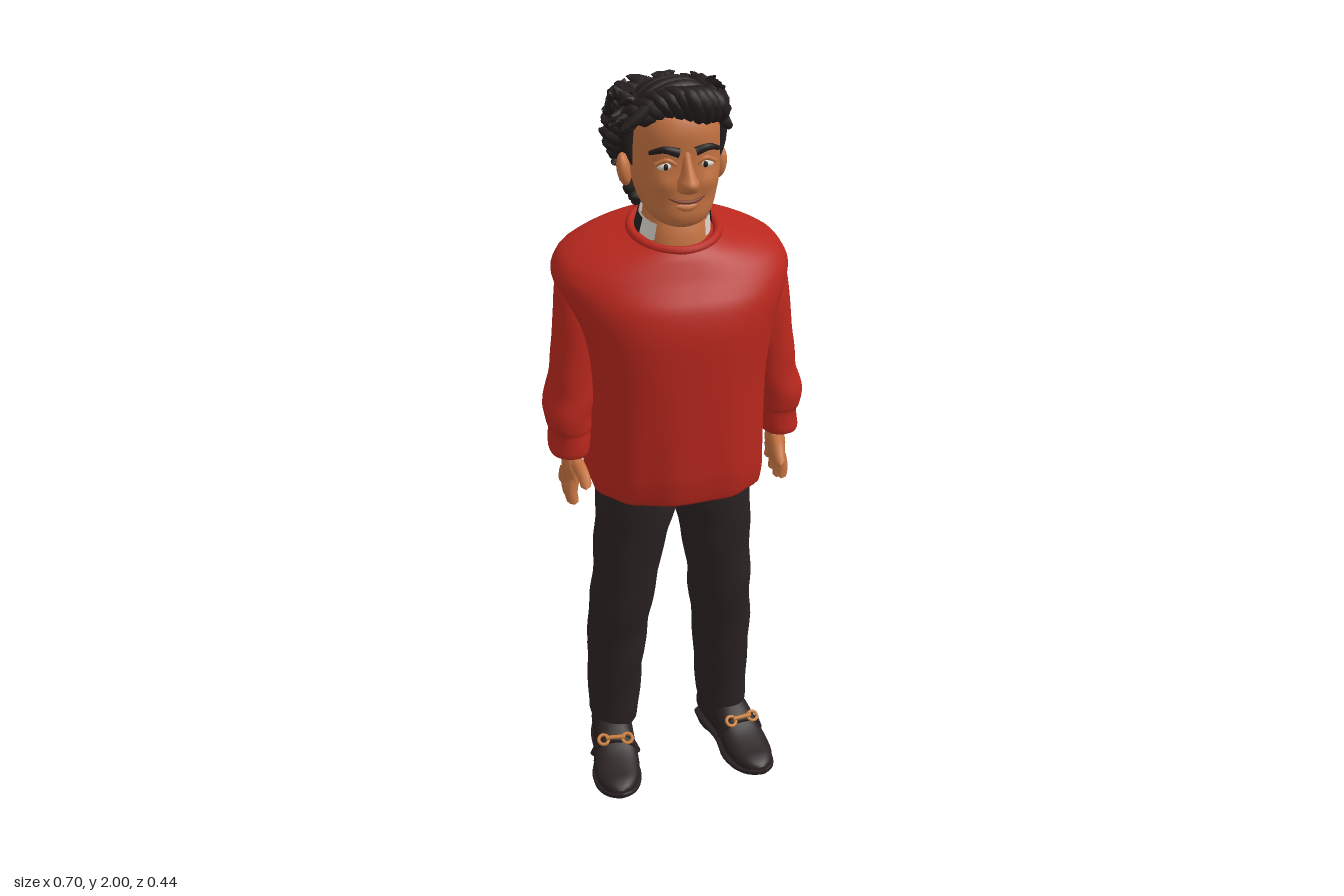
import * as THREE from 'three';
import { mergeGeometries } from 'three/addons/utils/BufferGeometryUtils.js';

const mat = (name, color, side = THREE.FrontSide) => {
  const m = new THREE.MeshStandardMaterial({ color, side });
  m.name = name;
  return m;
};
const V = (x, y, z) => new THREE.Vector3(x, y, z);
const rnd = (i) => { const s = Math.sin(i * 12.9898) * 43758.5453; return s - Math.floor(s); };

// Smooth monotone interpolation of section rows
function refine(rows, sub) {
  const tan = (i, k) => {
    if (i === 0 || i === rows.length - 1) return 0;
    const a = rows[i][k] - rows[i - 1][k], b = rows[i + 1][k] - rows[i][k];
    return a * b <= 0 ? 0 : (2 * a * b) / (a + b);
  };
  const out = [];
  for (let i = 0; i < rows.length - 1; i++) for (let j = 0; j < sub; j++) {
    const t = j / sub, t2 = t * t, t3 = t2 * t;
    out.push(rows[i].map((p, k) => p * (2 * t3 - 3 * t2 + 1) + tan(i, k) * (t3 - 2 * t2 + t)
      + rows[i + 1][k] * (3 * t2 - 2 * t3) + tan(i + 1, k) * (t3 - t2)));
  }
  out.push(rows[rows.length - 1]);
  return out;
}
const onRing = ([y, xl, xr, zb, zf], a, n = 2.3, k = 1) => {
  const c = Math.cos(a), s = Math.sin(a);
  const e = (v) => Math.sign(v) * Math.abs(v) ** (2 / n);
  return V((xl + xr) / 2 + e(c) * k * (xr - xl) / 2, y, (zb + zf) / 2 + e(s) * k * (zf - zb) / 2);
};
// Closed body through rounded sections [y, xMin, xMax, zBack, zFront]
function loft(rows, { n = 2.3, seg = 32, sub = 4, warp } = {}) {
  const rings = refine(rows, sub), pos = [], idx = [];
  rings.forEach((r) => {
    for (let i = 0; i < seg; i++) {
      const a = (i / seg) * Math.PI * 2, p = onRing(r, a, n);
      if (warp) warp(p, a);
      pos.push(p.x, p.y, p.z);
    }
  });
  for (let j = 0; j < rings.length - 1; j++) for (let i = 0; i < seg; i++) {
    const k = (i + 1) % seg, a = j * seg + i, b = j * seg + k, c = a + seg, d = b + seg;
    idx.push(a, c, b, b, c, d);
  }
  [0, rings.length - 1].forEach((j, top) => {
    const r = rings[j], c = pos.length / 3;
    pos.push((r[1] + r[2]) / 2, r[0], (r[3] + r[4]) / 2);
    for (let i = 0; i < seg; i++) {
      const a = j * seg + i, b = j * seg + (i + 1) % seg;
      if (top) idx.push(a, c, b); else idx.push(a, b, c);
    }
  });
  const g = new THREE.BufferGeometry();
  g.setAttribute('position', new THREE.Float32BufferAttribute(pos, 3));
  g.setIndex(idx);
  g.computeVertexNormals();
  return g;
}
const sym = (rows) => rows.map(([y, x, b, f]) => [y, -x, x, b, f]);
const sided = (s, rows) => rows.map(([y, a, b, ...z]) => [y, Math.min(s * a, s * b), Math.max(s * a, s * b), ...z]);
const along = (rows, n) => loft(rows.map(([l, w, top, low]) => [l, -w, w, -top, -low]), { n }).rotateX(Math.PI / 2);

// Tube along a curve whose thickness follows a rule
function lock(points, r, shape = (t) => Math.sqrt(1 - t * 0.98), tub = 6, rad = 6) {
  const curve = new THREE.CatmullRomCurve3(points), g = new THREE.TubeGeometry(curve, tub, r, rad);
  const p = g.attributes.position, v = V(0, 0, 0);
  for (let i = 0; i < p.count; i++) {
    const t = Math.floor(i / (rad + 1)) / tub, c = curve.getPointAt(t);
    v.fromBufferAttribute(p, i).sub(c).multiplyScalar(shape(t)).add(c);
    p.setXYZ(i, v.x, v.y, v.z);
  }
  return g;
}
const swell = (t) => Math.sqrt(Math.max(0.01, Math.sin(Math.PI * (0.12 + 0.87 * t))));

export function createModel() {
  const root = new THREE.Group();
  const red = mat('sweater red', 0xb8271d), skin = mat('skin', 0xc47241), hairM = mat('hair black', 0x231c1c);
  const cloth = mat('trouser charcoal', 0x2b2222), leather = mat('shoe leather', 0x292021), gold = mat('buckle gold', 0xc87c38);
  const white = mat('pale white', 0xdcd6ce, THREE.DoubleSide), collarM = mat('collar black', 0x242022, THREE.DoubleSide);
  const lip = mat('lip brown', 0x7a3a26);
  const add = (name, g, m, parent = root) => {
    const o = new THREE.Mesh(g, m);
    o.name = name;
    parent.add(o);
    return o;
  };
  const ball = (name, m, x, y, z, sx, sy, sz) => {
    const o = add(name, new THREE.SphereGeometry(1, 20, 14), m);
    o.position.set(x, y, z);
    o.scale.set(sx, sy, sz);
    return o;
  };

  // Sweater body: broad shoulders set slightly back, rippled hem, neckline tilted down to the front
  add('sweaterBody', loft(sym([
    [0.95, 0.19, -0.17, 0.16], [0.915, 0.222, -0.2, 0.197], [0.92, 0.23, -0.207, 0.203], [0.965, 0.236, -0.216, 0.212],
    [1.0, 0.235, -0.22, 0.216], [1.2, 0.236, -0.208, 0.219], [1.36, 0.258, -0.196, 0.218], [1.45, 0.296, -0.188, 0.202],
    [1.5, 0.309, -0.182, 0.182], [1.54, 0.291, -0.172, 0.164], [1.58, 0.22, -0.152, 0.146], [1.602, 0.155, -0.13, 0.134], [1.615, 0.115, -0.105, 0.122],
  ]), {
    n: 2.4, seg: 66,
    warp: (p, a) => {
      const w = 1 + 0.016 * Math.cos(11 * a) * (1 - THREE.MathUtils.smoothstep(p.y, 0.95, 1.3));
      p.x *= w; p.z *= w;
      p.z -= 0.03 * (p.x / 0.31) ** 2 * THREE.MathUtils.smoothstep(p.y, 1.3, 1.5);
      p.y -= 0.27 * p.z * THREE.MathUtils.smoothstep(p.y, 1.42, 1.62);
    },
  }), red);
  const neckline = add('necklineBand', new THREE.TorusGeometry(0.112, 0.012, 10, 40), red);
  neckline.rotation.x = Math.PI / 2 + 0.26;
  neckline.position.set(0, 1.613, 0.008);

  // Shirt collar round the back of the neck, with a pale lining reaching further forward
  [['shirtCollar', 0.1, 0.058, 1.3, collarM], ['collarLining', 0.096, 0.064, 0.78, white]].forEach(([name, r, h, open, m]) => {
    const c = add(name, new THREE.CylinderGeometry(r - 0.008, r + 0.002, h, 32, 1, true, open, Math.PI * 2 - 2 * open), m);
    c.rotation.x = 0.26;
    c.position.set(0, 1.63, 0.006);
  });

  for (const s of [1, -1]) {
    const side = s > 0 ? 'left' : 'right';
    // Sleeve with a gathered cuff
    add(side + 'Sleeve', loft(sided(s, [
      [1.06, 0.26, 0.31, -0.03, 0.055], [1.025, 0.24, 0.332, -0.055, 0.08], [1.04, 0.234, 0.338, -0.06, 0.085], [1.085, 0.234, 0.338, -0.062, 0.083],
      [1.1, 0.228, 0.345, -0.075, 0.087], [1.14, 0.222, 0.349, -0.088, 0.09], [1.2, 0.212, 0.337, -0.09, 0.084], [1.3, 0.2, 0.322, -0.082, 0.078],
      [1.4, 0.19, 0.313, -0.082, 0.072], [1.47, 0.18, 0.306, -0.085, 0.055], [1.52, 0.18, 0.28, -0.07, 0.035],
    ]), { warp: (p, a) => { p.x += s * 0.003 * Math.sin(p.y * 50 + 2 * Math.sin(a)) * (1 - THREE.MathUtils.smoothstep(p.y, 1.2, 1.35)); } }), red);

    // Hand: palm, four fingers, thumb
    add(side + 'Palm', loft(sided(s, [
      [0.925, 0.274, 0.3, -0.045, 0.065], [0.95, 0.268, 0.304, -0.048, 0.07], [0.985, 0.262, 0.306, -0.04, 0.068],
      [1.02, 0.262, 0.304, -0.022, 0.05], [1.06, 0.262, 0.304, -0.018, 0.048],
    ]), { seg: 20 }), skin);
    const round = (t) => (t < 0.8 ? 1 - 0.2 * t : Math.sqrt(Math.max(0, 1 - ((t - 0.8) / 0.2) ** 2)) * 0.84);
    const fingers = [[-0.035, -0.055, 0.895], [-0.006, -0.012, 0.875], [0.025, 0.028, 0.87], [0.053, 0.066, 0.885]].map(([z0, z1, y]) =>
      lock([V(s * 0.286, 0.955, z0), V(s * 0.292, 0.92, (z0 + z1) / 2), V(s * 0.287, y, z1)], 0.0165, round, 10, 10));
    fingers.push(lock([V(s * 0.276, 1.0, 0.045), V(s * 0.27, 0.99, 0.08), V(s * 0.266, 0.975, 0.1), V(s * 0.266, 0.952, 0.118)], 0.019, round, 10, 10));
    add(side + 'Fingers', mergeGeometries(fingers), skin);

    // Trouser leg
    add(side + 'TrouserLeg', loft(sided(s, [
      [0.14, 0.11, 0.215, -0.13, 0], [0.12, 0.098, 0.226, -0.148, 0.015], [0.14, 0.094, 0.231, -0.153, 0.02], [0.22, 0.088, 0.232, -0.153, 0.03],
      [0.4, 0.074, 0.233, -0.15, 0.055], [0.5, 0.062, 0.228, -0.14, 0.072], [0.6, 0.05, 0.221, -0.127, 0.09], [0.75, 0.022, 0.215, -0.12, 0.105],
      [0.86, -0.004, 0.21, -0.122, 0.12], [0.97, -0.01, 0.2, -0.12, 0.12],
    ]), { warp: (p, a) => { p.x += 0.002 * Math.sin(p.y * 40 + 3 * Math.sin(a + s)); p.z += 0.003 * Math.cos(p.y * 30 + 2 * a); } }), cloth);

    // Loafer with a rounded toe, turned slightly outwards
    const shoe = new THREE.Group();
    shoe.name = side + 'Shoe';
    shoe.position.set(s * 0.178, 0, 0);
    shoe.rotation.y = s * 0.15;
    root.add(shoe);
    add(side + 'ShoeUpper', along([
      [-0.152, 0.03, 0.09, 0.03], [-0.145, 0.045, 0.115, 0.022], [-0.1, 0.056, 0.14, 0.02], [-0.02, 0.057, 0.145, 0.02], [0.04, 0.06, 0.118, 0.016],
      [0.09, 0.065, 0.085, 0.013], [0.14, 0.06, 0.066, 0.012], [0.175, 0.046, 0.056, 0.012], [0.195, 0.03, 0.046, 0.014], [0.206, 0.01, 0.036, 0.018],
    ], 2.4), leather, shoe);
    add(side + 'ShoeSole', along([
      [-0.155, 0.035, 0.034, 0.016], [-0.145, 0.052, 0.034, 0.014], [-0.08, 0.06, 0.034, 0.014], [0, 0.056, 0.032, 0.014], [0.09, 0.07, 0.026, 0.004],
      [0.14, 0.065, 0.026, 0.004], [0.178, 0.05, 0.028, 0.006], [0.2, 0.032, 0.03, 0.011], [0.212, 0.01, 0.03, 0.016],
    ], 3), leather, shoe);
    add(side + 'ShoeHeel', loft(sym([[0, 0.05, -0.153, -0.045], [0.03, 0.055, -0.155, -0.04]]), { n: 3, sub: 1 }), leather, shoe);
    add(side + 'ShoeStrap', lock([V(-0.062, 0.06, 0.055), V(-0.042, 0.1, 0.06), V(0, 0.112, 0.062), V(0.042, 0.1, 0.06), V(0.062, 0.06, 0.055)], 0.011, () => 1, 16, 8), leather, shoe);
    const bit = [-1, 1].map((k) => new THREE.TorusGeometry(0.014, 0.005, 8, 16).rotateX(-0.9).translate(k * 0.034, 0.117, 0.069));
    bit.push(new THREE.CylinderGeometry(0.006, 0.006, 0.055, 10).rotateZ(Math.PI / 2).translate(0, 0.124, 0.07));
    add(side + 'ShoeBuckle', mergeGeometries(bit), gold, shoe);

    // Eye, brow, ear, sideburn
    ball(side + 'Eye', white, s * 0.05, 1.804, 0.111, 0.023, 0.012, 0.016);
    ball(side + 'Pupil', hairM, s * 0.05 - 0.002, 1.804, 0.124, 0.0065, 0.008, 0.0045);
    add(side + 'Eyelid', lock([V(s * 0.026, 1.808, 0.123), V(s * 0.049, 1.82, 0.124), V(s * 0.075, 1.808, 0.112)], 0.006, () => 1, 12, 8), skin);
    add(side + 'Eyebrow', lock([V(s * 0.02, 1.838, 0.129), V(s * 0.055, 1.847, 0.125), V(s * 0.088, 1.836, 0.103)], 0.012, (t) => 1 - 0.55 * t, 10, 8), hairM);
    ball(side + 'Ear', skin, s * 0.122, 1.765, -0.015, 0.018, 0.042, 0.026).rotation.set(0, s * 0.45, -s * 0.15);
    add(side + 'Sideburn', lock([V(s * 0.115, 1.88, 0.02), V(s * 0.117, 1.83, 0.02), V(s * 0.11, 1.785, 0.022)], 0.019), hairM);
  }
  add('trouserHips', loft(sym([[0.89, 0.1, -0.1, 0.09], [0.91, 0.19, -0.115, 0.112], [0.98, 0.19, -0.12, 0.118]])), cloth);

  // Neck, head with full cheeks, nose, mouth
  add('neck', loft(sym([[1.54, 0.09, -0.08, 0.105], [1.61, 0.084, -0.08, 0.095], [1.67, 0.074, -0.08, 0.075], [1.76, 0.07, -0.08, 0.06]])), skin);
  add('head', loft(sym([
    [1.643, 0.03, 0.04, 0.108], [1.652, 0.056, 0.0, 0.122], [1.68, 0.084, -0.05, 0.131], [1.72, 0.1, -0.09, 0.13], [1.77, 0.11, -0.11, 0.131],
    [1.82, 0.112, -0.12, 0.129], [1.87, 0.111, -0.12, 0.13], [1.92, 0.098, -0.1, 0.114], [1.95, 0.05, -0.05, 0.06],
  ]), {
    seg: 48,
    warp: (p, a) => { // cheek bulge
      const b = Math.exp(-(((Math.abs(p.x) - 0.062) / 0.028) ** 2) - ((p.y - 1.757) / 0.025) ** 2) * Math.max(0, Math.sin(a));
      p.z += 0.014 * b;
    },
  }), skin);
  add('nose', loft(sym([
    [1.738, 0.016, 0.1, 0.148], [1.746, 0.026, 0.1, 0.168], [1.765, 0.026, 0.1, 0.181], [1.785, 0.018, 0.1, 0.168], [1.82, 0.012, 0.1, 0.141], [1.845, 0.012, 0.1, 0.126],
  ]), { n: 2, seg: 20 }), skin);
  add('mouth', lock([V(-0.05, 1.727, 0.119), V(-0.02, 1.716, 0.132), V(0.02, 1.715, 0.132), V(0.055, 1.731, 0.117)], 0.005, (t) => 0.4 + Math.sin(Math.PI * t) * 0.6, 16, 8), lip);
  add('lowerLip', lock([V(-0.03, 1.704, 0.124), V(0, 1.7, 0.13), V(0.03, 1.704, 0.124)], 0.009, (t) => 0.2 + Math.sin(Math.PI * t), 12, 8), skin);

  // Hair: solid cap, narrow at the nape, crown sloping down to the back
  const hairRows = [
    [1.675, -0.055, 0.055, -0.112, -0.065], [1.7, -0.075, 0.075, -0.135, -0.06], [1.75, -0.1, 0.1, -0.158, -0.05], [1.8, -0.124, 0.122, -0.17, -0.03],
    [1.86, -0.136, 0.13, -0.166, 0.05], [1.905, -0.132, 0.118, -0.142, 0.09], [1.94, -0.115, 0.098, -0.108, 0.1], [1.965, -0.085, 0.07, -0.065, 0.09], [1.978, -0.05, 0.03, -0.025, 0.06],
  ];
  add('hairCap', loft(hairRows, { n: 2.1 }), hairM);
  // Pointed curls round the back and sides
  const curls = [];
  refine(hairRows, 2).forEach((r, j) => {
    if (r[0] > 1.95) return;
    const count = Math.round(5 + 130 * (r[2] - r[1]) / 2);
    const up = (r[0] - 1.8) / 0.15, from = r[0] < 1.78 ? 1.08 : 0.96;
    for (let i = 0; i < count; i++) {
      const q = j * 40 + i, a = Math.PI * (from + (3 - 2 * from) * (i + (j % 2) / 2) / (count - 0.5));
      const o = V(Math.cos(a), 0.7 * up, Math.sin(a)).normalize();
      const t = V(-Math.sin(a), -0.5 + rnd(q), Math.cos(a)).multiplyScalar((rnd(q + 7) > 0.5 ? 1 : -1) * 0.016);
      const p = onRing(r, a, 2.1, 0.9), out = 0.032 + 0.018 * rnd(q + 3);
      curls.push(lock([p, p.clone().addScaledVector(o, out * 0.65).add(t), p.clone().addScaledVector(o, out).addScaledVector(t, -0.3).add(V(0, 0.006, 0))],
        0.02 + 0.006 * rnd(q + 5), (u) => 1 - 0.95 * u * u, 5, 6));
    }
  });
  add('hairCurls', mergeGeometries(curls), hairM);
  // Quiff: locks fanning from the parting over the crown, and wavy locks rolling up off the hairline
  const sweep = [];
  for (let i = 0; i < 13; i++) {
    const t = i / 12, w = rnd(i + 50), dip = 0.035 * t * t;
    sweep.push(lock([V(0.085 - 0.03 * t, 1.93 - dip, 0.05 - 0.15 * t), V(0.035 - 0.02 * t, 1.966 + 0.006 * w - dip, 0.05 - 0.16 * t),
      V(-0.05 - 0.01 * t, 1.96 + 0.008 * w - dip, 0.075 - 0.175 * t), V(-0.105 - 0.01 * t, 1.92 + 0.012 * w - dip, 0.085 - 0.16 * t),
      V(-0.143 - 0.018 * Math.sin(Math.PI * t), 1.885 + 0.035 * w - dip, 0.085 - 0.15 * t)], 0.026, swell, 14, 8));
  }
  for (let i = 0; i < 9; i++) {
    const t = i / 8, w = rnd(i + 80), x = -0.085 + 0.17 * t, d = Math.abs(x - 0.03), h = 1.98 - 3.2 * d * d - 0.012 * w;
    sweep.push(lock([V(x + 0.008, 1.908 - 0.012 * w, 0.098 - 0.35 * d), V(x + 0.012, 1.925, 0.122 - 0.4 * d), V(x - 0.005, h - 0.012, 0.127 - 0.4 * d),
      V(x - 0.03, h, 0.1 - 0.3 * d), V(x - 0.055, h - 0.012, 0.06 - 0.2 * d)], 0.02 + 0.004 * w, swell, 14, 8));
  }
  // Loose flicks at the temples
  [[-0.09, -0.145, 1.945], [-0.11, -0.17, 1.9], [-0.105, -0.145, 1.87], [0.08, 0.105, 1.945], [0.1, 0.142, 1.905], [0.105, 0.15, 1.865]].forEach(([x0, x1, y], i) =>
    sweep.push(lock([V(x0, 1.91, 0.035), V((x0 + x1) / 2, y + 0.01, 0.045), V(x1, y, 0.035 - 0.008 * i)], 0.02, (u) => 1 - 0.9 * u, 8, 8)));
  add('hairQuiff', mergeGeometries(sweep), hairM);
  return root;
}
